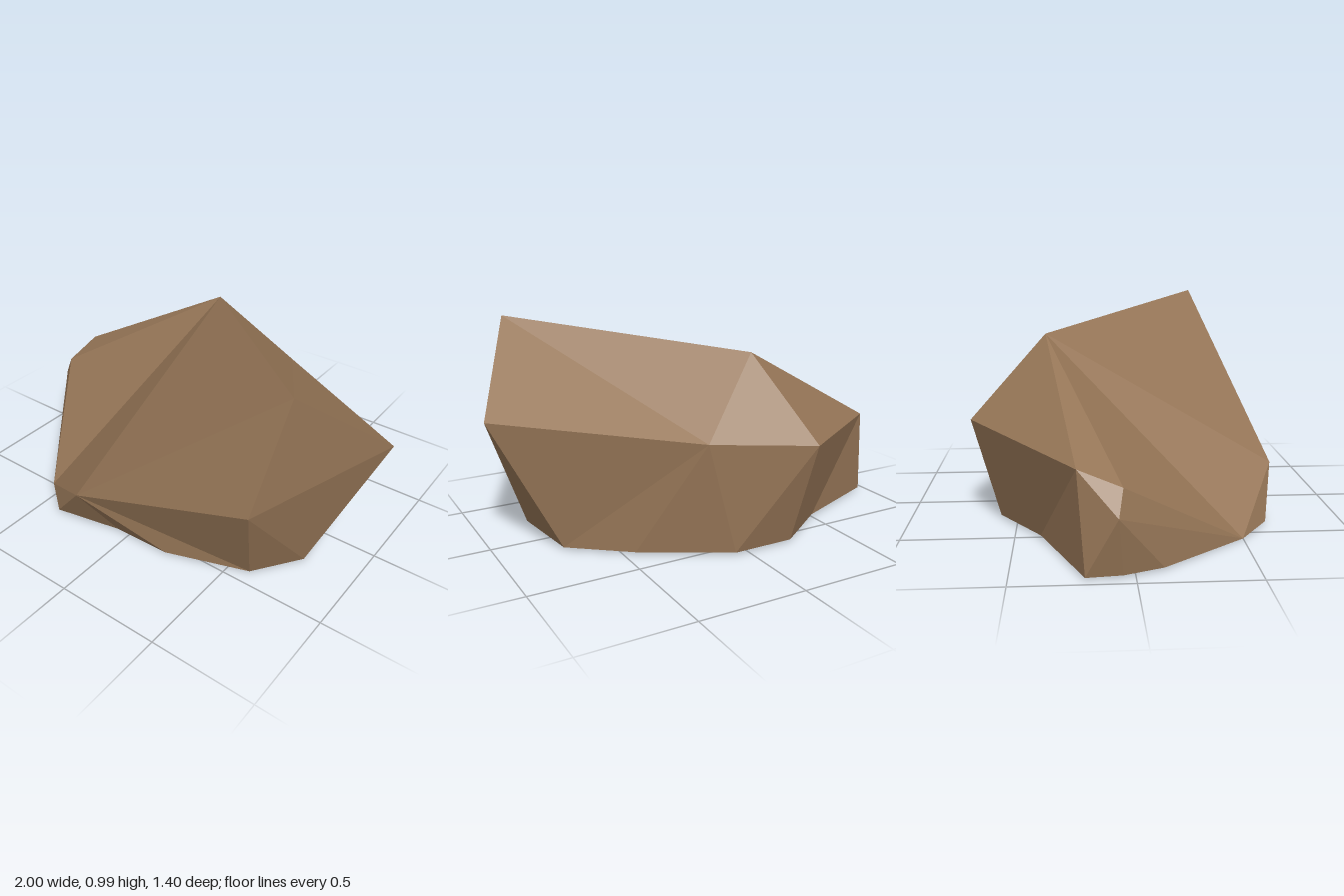
import * as THREE from 'three';

export function createModel() {
  const model = new THREE.Group();
  model.name = 'boulder';

  // The shell is open underneath, so both sides show
  const stone = new THREE.MeshStandardMaterial({ color: 0x957556, side: THREE.DoubleSide });
  stone.name = 'brown stone';

  // Corners of the upper rock
  const peak = [0.76, 0.985, 0.43];
  const ridge = [-0.14, 0.855, -0.36];
  const shoulder = [-0.92, 0.435, -0.23];
  const cheek = [-0.94, 0.365, -0.05];
  const tip = [-1.0, 0.26, -0.07];
  const back = [-0.28, 0.485, -0.7];
  const backSide = [0.19, 0.52, -0.55];
  const side = [1.0, 0.6, -0.035];
  const brow = [0.68, 0.46, 0.59];
  const nose = [-0.19, 0.235, 0.7];
  const toe = [-0.57, 0, 0.5];

  // Ground corners (x, z), each with the upper corner its following edge rises to
  const foot = [
    [-0.57, 0.5, nose], [-0.39, 0.64, nose], [-0.06, 0.573, nose], [0.22, 0.565, nose],
    [0.6, 0.435, brow], [0.755, 0.22, side], [0.71, -0.155, backSide],
    [0.45, -0.36, backSide], [0.065, -0.58, back], [-0.23, -0.58, back],
    [-0.504, -0.386, shoulder], [-0.96, -0.2, tip], [-0.945, -0.05, tip], [-0.88, 0.12, tip],
  ].map(([x, z, top], i) => ({ p: i === 0 ? toe : [x, 0.01, z], top }));

  // Top and front facets
  const faces = [
    [peak, ridge, nose], [ridge, toe, nose], [ridge, cheek, toe], [cheek, tip, toe],
    [cheek, shoulder, tip], [ridge, shoulder, cheek], [ridge, back, shoulder],
    [ridge, backSide, back], [peak, backSide, ridge], [peak, side, backSide],
    [peak, brow, side], [peak, nose, brow],
  ];

  // Wall facets rising from the ground ring
  foot.forEach(({ p, top }, i) => {
    faces.push([p, foot[(i + 1) % foot.length].p, top]);
    if (i > 0 && foot[i - 1].top !== top) faces.push([p, top, foot[i - 1].top]);
  });

  const geometry = new THREE.BufferGeometry();
  geometry.setAttribute('position', new THREE.Float32BufferAttribute(faces.flat(2), 3));
  geometry.computeVertexNormals();
  const rock = new THREE.Mesh(geometry, stone);
  rock.name = 'rock';
  model.add(rock);
  return model;
}
